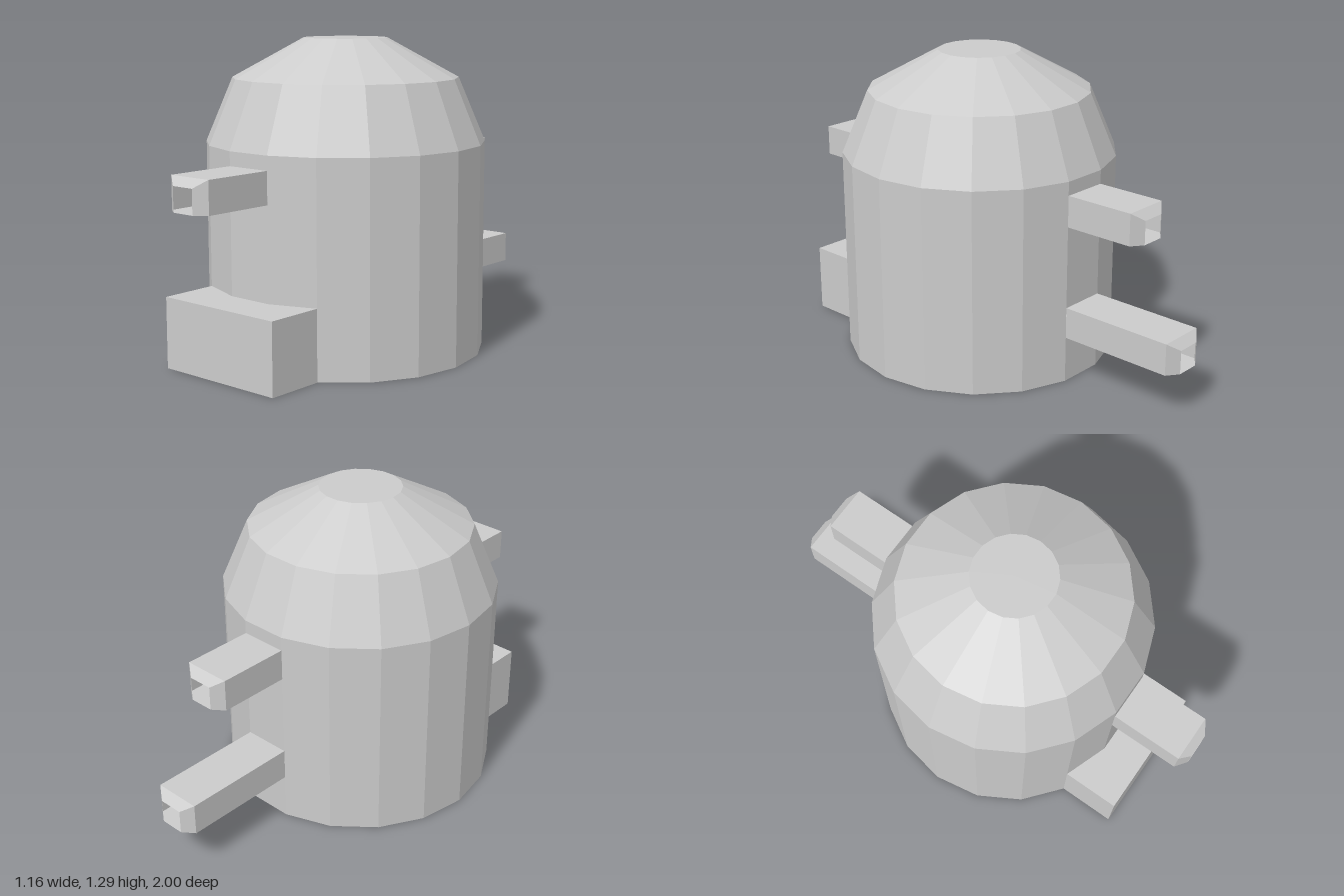
import * as THREE from 'three';

const SIDES = 18, STEP = (Math.PI * 2) / SIDES;
const R = 0.578, CZ = 0.095;          // body radius and centre in z
const APOTHEM = R * Math.cos(STEP / 2);
const WALL_TOP = 0.865, BOX_TOP = 0.29;

const material = new THREE.MeshStandardMaterial({
  color: 0xcccccc, flatShading: true, side: THREE.DoubleSide,
});

function part(name, geometry, parent) {
  const mesh = new THREE.Mesh(geometry, material);
  mesh.name = name;
  parent.add(mesh);
  return mesh;
}

// Corners of a regular polygon in plan (x, z), with a flat side facing front and back
function polygon(radius, sides) {
  return Array.from({ length: sides }, (_, i) => {
    const a = ((i + 0.5) * Math.PI * 2) / sides;
    return new THREE.Vector2(radius * Math.sin(a), radius * Math.cos(a));
  });
}

// Open rectangular tube with a tapered mouth; runs along +z from the wall
function spoutGeometry(length, y0, height) {
  const sections = [
    [0, 0.1, height], [length - 0.036, 0.1, height], [length, 0.051, height - 0.033],
  ].map(([z, w, h]) => [[-w, y0, z], [w, y0, z], [w, y0 + h, z], [-w, y0 + h, z]]);
  const pos = [];
  for (let s = 0; s < 2; s++) {
    for (let i = 0; i < 4; i++) {
      const j = (i + 1) % 4;
      const a = sections[s][i], b = sections[s][j];
      const c = sections[s + 1][j], d = sections[s + 1][i];
      pos.push(...a, ...b, ...c, ...a, ...c, ...d);
    }
  }
  const g = new THREE.BufferGeometry();
  g.setAttribute('position', new THREE.Float32BufferAttribute(pos, 3));
  g.computeVertexNormals();
  return g;
}

export function createModel() {
  const model = new THREE.Group();
  model.name = 'tower';
  const body = new THREE.Group();
  body.name = 'body';
  body.position.z = CZ;
  model.add(body);

  // Hollow wall, one panel per side, leaving openings behind the spouts and front block
  const spans = {
    0: [[BOX_TOP, 0.675], [0.807, WALL_TOP]],
    1: [[BOX_TOP, WALL_TOP]],
    9: [[0, 0.195], [0.327, 0.675], [0.807, WALL_TOP]],
    17: [[BOX_TOP, WALL_TOP]],
  };
  for (let i = 0; i < SIDES; i++) {
    for (const [y0, y1] of spans[i] ?? [[0, WALL_TOP]]) {
      const g = new THREE.CylinderGeometry(R, R, y1 - y0, 1, 1, true, (i - 0.5) * STEP, STEP);
      part('wallPanel', g.translate(0, (y0 + y1) / 2, 0), body);
    }
  }

  // Two-slope roof with a flat top
  const profile = [[R, WALL_TOP], [0.467, 1.128], [0.172, 1.29], [0, 1.29]]
    .map(([x, y]) => new THREE.Vector2(x, y));
  part('roof', new THREE.LatheGeometry(profile, SIDES, STEP / 2), body);

  // Floor with a six-sided hole
  const floor = new THREE.Shape(polygon(R, SIDES));
  floor.holes.push(new THREE.Path(polygon(0.145, 6)));
  part('floor', new THREE.ShapeGeometry(floor).rotateX(Math.PI / 2), body);

  // Front block, its back following the wall
  const x1 = R * Math.sin(1.5 * STEP), z1 = R * Math.cos(1.5 * STEP);
  const x0 = R * Math.sin(0.5 * STEP), front = 0.84 - CZ;
  const plan = new THREE.Shape([
    [x1, z1], [x1, front], [-x1, front], [-x1, z1], [-x0, APOTHEM], [x0, APOTHEM],
  ].map(([x, z]) => new THREE.Vector2(x, z)));
  const block = new THREE.ExtrudeGeometry(plan, { depth: BOX_TOP, bevelEnabled: false });
  part('frontBlock', block.rotateX(Math.PI / 2).translate(0, BOX_TOP, 0), body);

  // Spouts: one in front, two behind
  for (const [name, dir, end, y] of [
    ['frontSpout', 1, 1, 0.675],
    ['upperBackSpout', -1, -0.81, 0.675],
    ['lowerBackSpout', -1, -1, 0.195],
  ]) {
    const length = Math.abs(end - CZ) - APOTHEM;
    const spout = part(name, spoutGeometry(length, y, 0.132), body);
    spout.position.z = dir * APOTHEM;
    if (dir < 0) spout.rotation.y = Math.PI;
  }
  return model;
}
